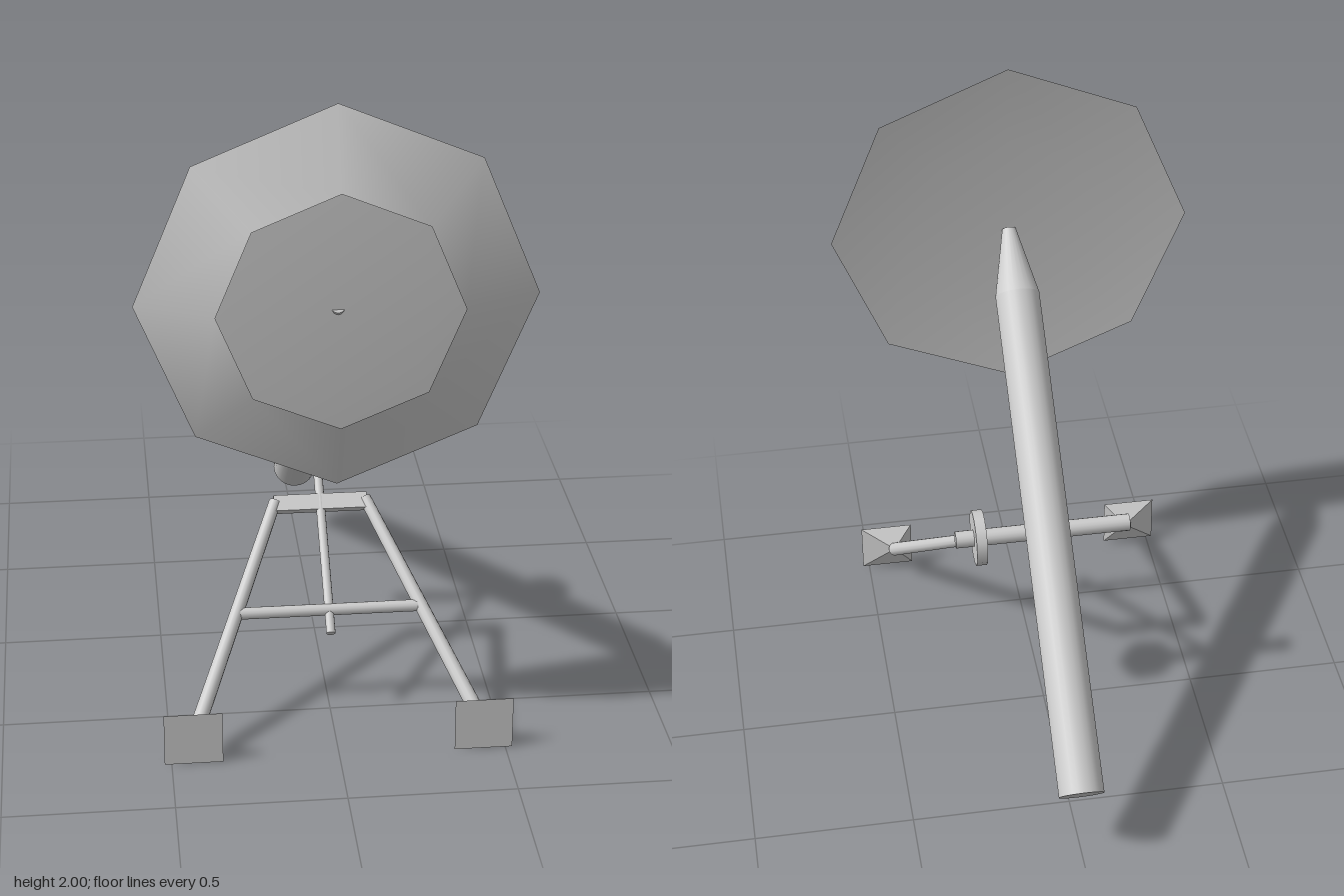
import * as THREE from 'three';

export function createModel() {
  const group = new THREE.Group();
  const grey = new THREE.MeshStandardMaterial({ color: 0xcccccc, side: THREE.DoubleSide });
  grey.name = 'light grey';
  const V = (x, y, z) => new THREE.Vector3(x, y, z);

  const add = (name, geometry) => {
    const mesh = new THREE.Mesh(geometry, grey);
    mesh.name = name;
    group.add(mesh);
    return mesh;
  };

  // Cylinder running from a to b, with its own radius at each end
  const rod = (name, a, b, ra, rb = ra, sides = 12, open = false) => {
    const dir = b.clone().sub(a);
    const mesh = add(name, new THREE.CylinderGeometry(rb, ra, dir.length(), sides, 1, open));
    mesh.position.copy(a).add(b).multiplyScalar(0.5);
    mesh.quaternion.setFromUnitVectors(V(0, 1, 0), dir.normalize());
    return mesh;
  };

  // Eight-sided ring or plate turned about the z axis; profile is [radius, z]
  const dishPart = (name, profile) => {
    const points = profile.map(([r, z]) => new THREE.Vector2(r, z));
    const mesh = add(name, new THREE.LatheGeometry(points, 8));
    mesh.rotation.x = Math.PI / 2;
    mesh.position.y = 1.427;
    return mesh;
  };

  // Dish: sloping front ring, open in the middle, with a shallow plate behind
  dishPart('dishFrontRing', [[0.574, 0.665], [0.35, 0.77]]);
  dishPart('dishBackPlate', [[0, 0.688], [0.31, 0.688], [0.574, 0.665]]);

  // Barrel with a tapered nose that just pierces the back plate
  const tail = V(0, 0.241, -0.715);
  const shoulder = V(0, 1.272, 0.51);
  const nose = V(0, 1.415, 0.68);
  rod('barrel', tail, shoulder, 0.071, 0.071, 24);
  rod('barrelNose', shoulder, nose, 0.071, 0.022, 24);

  // Axle beneath the barrel, with a handwheel on its left
  rod('axle', V(-0.275, 0.715, -0.005), V(0.283, 0.715, -0.005), 0.027, 0.027, 16);
  rod('handwheel', V(0.191, 0.715, -0.005), V(0.225, 0.715, -0.005), 0.088, 0.088, 14);

  // Stand: all parts lie in one sloping plane
  const onPlane = (x, y) => V(x, y, (0.715 - y) / 0.847);
  rod('centreRod', onPlane(0, 0.715), onPlane(0, 0.275), 0.014);
  rod('lowerCrossbar', onPlane(-0.275, 0.325), onPlane(0.275, 0.325), 0.018);

  const bar = add('upperCrossbar', new THREE.BoxGeometry(0.29, 0.052, 0.026));
  bar.position.copy(onPlane(0, 0.553));
  bar.rotation.x = -Math.atan(1 / 0.847);

  for (const side of [-1, 1]) {
    const name = side > 0 ? 'left' : 'right';
    const ankle = onPlane(side * 0.412, 0.112);
    rod(name + 'Leg', ankle, onPlane(side * 0.14, 0.56), 0.023, 0.019);

    // Square foot plate tapering back to the leg
    const c = [[-1, -1], [1, -1], [1, 1], [-1, 1]].map(([i, j]) =>
      V(side * 0.434 + i * 0.087, 0.084 + j * 0.083, 0.77));
    const faces = [c[0], c[1], c[2], c[0], c[2], c[3]];
    for (let i = 0; i < 4; i++) faces.push(c[(i + 1) % 4], c[i], ankle);
    const foot = new THREE.BufferGeometry().setFromPoints(faces);
    foot.computeVertexNormals();
    add(name + 'Foot', foot);
  }
  return group;
}
